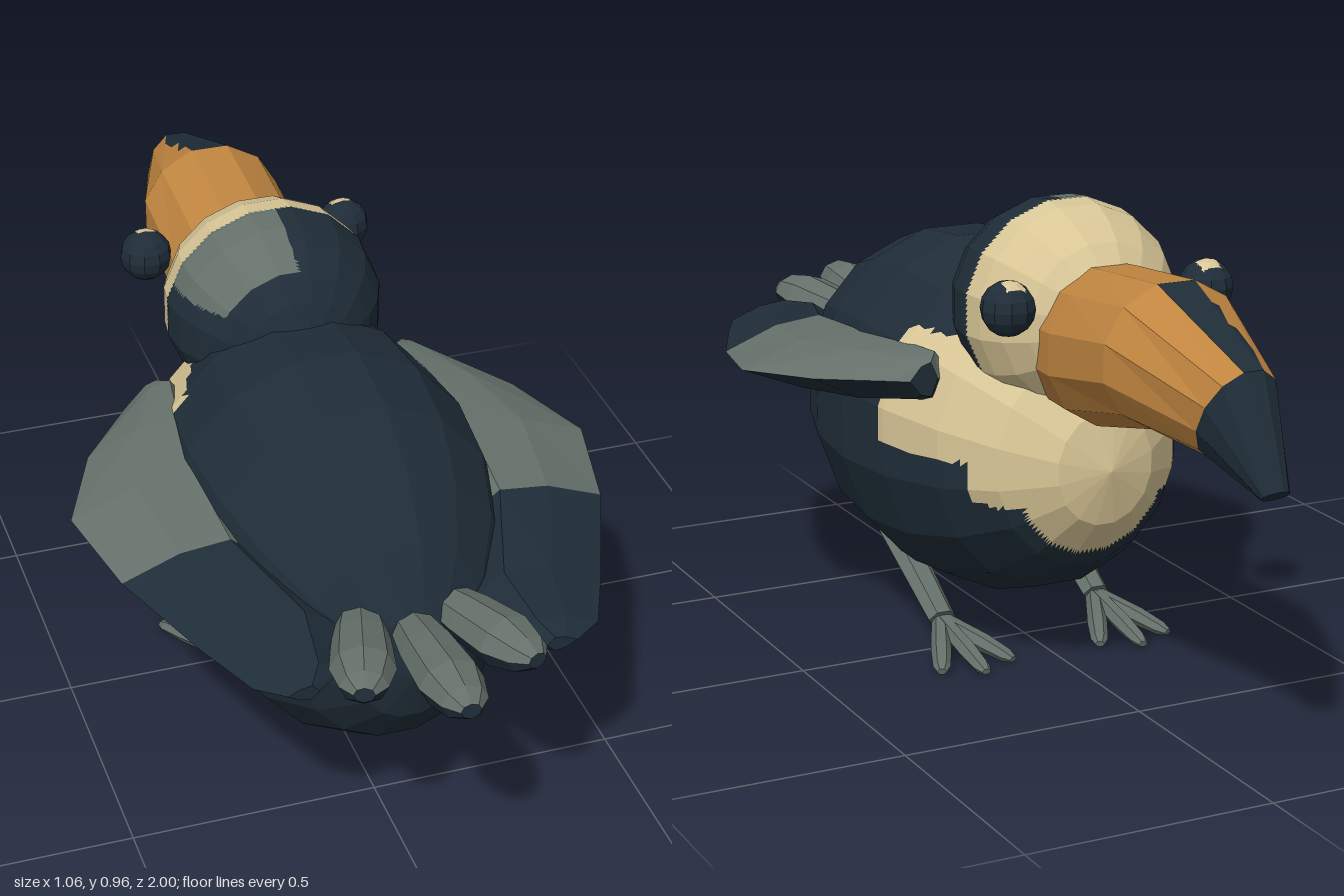
import * as THREE from 'three';

const flat = (name, color) => {
  const m = new THREE.MeshStandardMaterial({ color });
  m.name = name;
  return m;
};
const MATS = [flat('darkPlumage', 0x1f2d38), flat('cream', 0xd8c696), flat('greyFeather', 0x65706a), flat('orangeBeak', 0xc08540)];
const DARK = 0, CREAM = 1, GREY = 2, ORANGE = 3;
const V = (x, y, z) => new THREE.Vector3(x, y, z);

// Split flat facets into small triangles and colour each by rule(centre, normal)
function paint(name, geometry, rule, levels = 0) {
  const src = geometry.index ? geometry.toNonIndexed() : geometry;
  const p = src.attributes.position;
  const buckets = MATS.map(() => []);
  const add = (a, b, c, n, level) => {
    if (level > 0) {
      const ab = a.clone().lerp(b, 0.5), bc = b.clone().lerp(c, 0.5), ca = c.clone().lerp(a, 0.5);
      [[a, ab, ca], [ab, b, bc], [ca, bc, c], [ab, bc, ca]].forEach(t => add(...t, n, level - 1));
      return;
    }
    const centre = a.clone().add(b).add(c).divideScalar(3);
    for (const v of [a, b, c]) buckets[rule(centre, n)].push(v.x, v.y, v.z);
  };
  for (let i = 0; i < p.count; i += 3) {
    const [a, b, c] = [0, 1, 2].map(k => new THREE.Vector3().fromBufferAttribute(p, i + k));
    const n = b.clone().sub(a).cross(c.clone().sub(a));
    if (n.length() < 1e-9) continue;
    add(a, b, c, n.normalize(), levels);
  }
  const out = new THREE.BufferGeometry();
  out.setAttribute('position', new THREE.Float32BufferAttribute(buckets.flat(), 3));
  let start = 0;
  buckets.forEach((b, i) => {
    if (b.length) out.addGroup(start, b.length / 3, i);
    start += b.length / 3;
  });
  out.computeVertexNormals();
  const mesh = new THREE.Mesh(out, MATS);
  mesh.name = name;
  return mesh;
}

// Join rings of points into a closed solid that always faces outward
function loft(rings) {
  const tris = [], n = rings[0].length;
  for (let r = 0; r + 1 < rings.length; r++) {
    for (let i = 0; i < n; i++) {
      const j = (i + 1) % n, A = rings[r], B = rings[r + 1];
      tris.push([A[i], A[j], B[j]], [A[i], B[j], B[i]]);
    }
  }
  const last = rings[rings.length - 1];
  for (let i = 1; i + 1 < n; i++) {
    tris.push([rings[0][0], rings[0][i + 1], rings[0][i]], [last[0], last[i], last[i + 1]]);
  }
  let volume = 0;
  tris.forEach(([a, b, c]) => { volume += a.dot(b.clone().cross(c)); });
  const pos = tris.flatMap(([a, b, c]) => (volume > 0 ? [a, b, c] : [a, c, b]).flatMap(v => [v.x, v.y, v.z]));
  const g = new THREE.BufferGeometry();
  g.setAttribute('position', new THREE.Float32BufferAttribute(pos, 3));
  return g;
}

// Faceted ellipsoid with its poles along z
function ellipsoid(rx, ry, rz, x, y, z, seg, rows) {
  return new THREE.SphereGeometry(1, seg, rows).rotateY(Math.PI / seg).rotateX(Math.PI / 2)
    .scale(rx, ry, rz).translate(x, y, z);
}

// Tapered limb along a line; stops are [fraction, half width, half height]
function limb(from, to, stops, sides = 6) {
  const dir = to.clone().sub(from).normalize();
  const across = dir.clone().cross(V(0, 1, 0)).normalize();
  const up = across.clone().cross(dir);
  return loft(stops.map(([t, w, h]) => Array.from({ length: sides }, (_, i) => {
    const a = i / sides * Math.PI * 2;
    return from.clone().lerp(to, t).addScaledVector(across, w * Math.cos(a)).addScaledVector(up, h * Math.sin(a));
  })));
}

export function createModel() {
  const bird = new THREE.Group();
  bird.name = 'bird';

  // Body with a stepped cream chest
  bird.add(paint('body', ellipsoid(0.337, 0.375, 0.555, 0, 0.46, 0.175, 16, 10), c => {
    const chest = (c.z < 0.03 && c.y > 0.46 && c.y < 0.69) || (c.z < -0.21 && c.y > 0.38) || c.z < -0.3;
    return chest ? CREAM : DARK;
  }, 3));

  // Head: cream face, dark back, grey patch on the right of the crown
  bird.add(paint('head', ellipsoid(0.224, 0.215, 0.225, 0, 0.755, -0.175, 16, 12), c => {
    if (c.z < -0.185) return CREAM;
    return c.x < 0.01 && c.y > 0.83 && c.z < -0.02 ? GREY : DARK;
  }, 3));

  // Beak rings: [top z, top y, bottom z, bottom y, half width]
  const beakRings = [
    [-0.3, 0.86, -0.3, 0.56, 0.14], [-0.4, 0.87, -0.39, 0.56, 0.152], [-0.62, 0.888, -0.61, 0.61, 0.152],
    [-0.9, 0.785, -0.79, 0.6, 0.078], [-1.0, 0.59, -0.965, 0.565, 0.028],
  ].map(([zt, yt, zb, yb, w]) => Array.from({ length: 12 }, (_, i) => {
    const a = (i + 0.5) / 12 * Math.PI * 2;
    const t = (1 - Math.cos(a) / Math.cos(Math.PI / 12)) / 2;
    return V(w * Math.sin(a), yt + (yb - yt) * t, zt + (zb - zt) * t);
  }));
  bird.add(paint('beak', loft(beakRings.slice(0, 4)), (c, n) =>
    n.y > 0.8 && Math.abs(c.x) < 0.042 && c.z < -0.625 ? DARK : ORANGE, 2));
  bird.add(paint('beakTip', loft(beakRings.slice(3)), () => DARK));

  // Three fanned tail feathers, grey on top
  const feather = [[0, 0.03, 0.025], [0.45, 0.055, 0.045], [0.75, 0.062, 0.05], [0.92, 0.045, 0.035], [1, 0.02, 0.015]];
  const tailRule = (c, n) => (n.y > 0.3 ? GREY : DARK);
  bird.add(paint('middleTailFeather', limb(V(0, 0.535, 0.6), V(0, 0.58, 1), feather, 8), tailRule));

  for (const s of [1, -1]) {
    const side = s > 0 ? 'left' : 'right';
    bird.add(paint(side + 'TailFeather', limb(V(s * 0.06, 0.54, 0.56), V(s * 0.165, 0.58, 0.9), feather, 8), tailRule));

    // Eye with a small pale glint on top
    bird.add(paint(side + 'Eye', new THREE.SphereGeometry(0.054, 10, 8).translate(s * 0.215, 0.805, -0.36), c =>
      c.y > 0.835 && Math.abs(c.x - s * 0.211) < 0.02 && c.z < -0.36 && c.z > -0.392 ? CREAM : DARK, 2));

    // Wing sections: [z, inner x, outer x, centre y, half thickness]
    const wing = [
      [-0.12, 0.25, 0.31, 0.615, 0.035], [-0.09, 0.21, 0.34, 0.613, 0.05], [0.04, 0.2, 0.45, 0.6, 0.06],
      [0.22, 0.2, 0.53, 0.585, 0.062], [0.43, 0.2, 0.485, 0.57, 0.056], [0.65, 0.13, 0.395, 0.552, 0.045],
      [0.78, 0.17, 0.335, 0.545, 0.032], [0.815, 0.22, 0.28, 0.54, 0.015],
    ].map(([z, xi, xo, y, h]) => [[0, 0], [0.25, 1], [0.6, 0.8], [1, 0], [0.6, -0.85], [0.25, -1]]
      .map(([u, v]) => V(s * (xi + (xo - xi) * u), y + h * v, z)));
    bird.add(paint(side + 'Wing', loft(wing), (c, n) => (n.y > 0.1 && c.z < 0.43 ? GREY : DARK)));

    // Leg, dark behind, and three forward toes
    const ankle = V(s * 0.18, 0.06, 0.02);
    bird.add(paint(side + 'Leg', limb(V(s * 0.18, 0.19, 0.25), ankle, [[0, 0.038, 0.025], [0.5, 0.034, 0.023], [1, 0.03, 0.022]]),
      (c, n) => (n.y < -0.75 && n.z < 0.9 ? DARK : GREY)));
    [[0.1, -0.15], [0.18, -0.19], [0.26, -0.15]].forEach(([x, z], i) => {
      bird.add(paint(side + 'Toe' + (i + 1), limb(V(s * 0.18, 0.055, 0.03), V(s * x, 0.013, z),
        [[0, 0.018, 0.018], [0.6, 0.021, 0.019], [0.9, 0.018, 0.014], [1, 0.01, 0.007]]), () => GREY));
    });
  }
  return bird;
}
